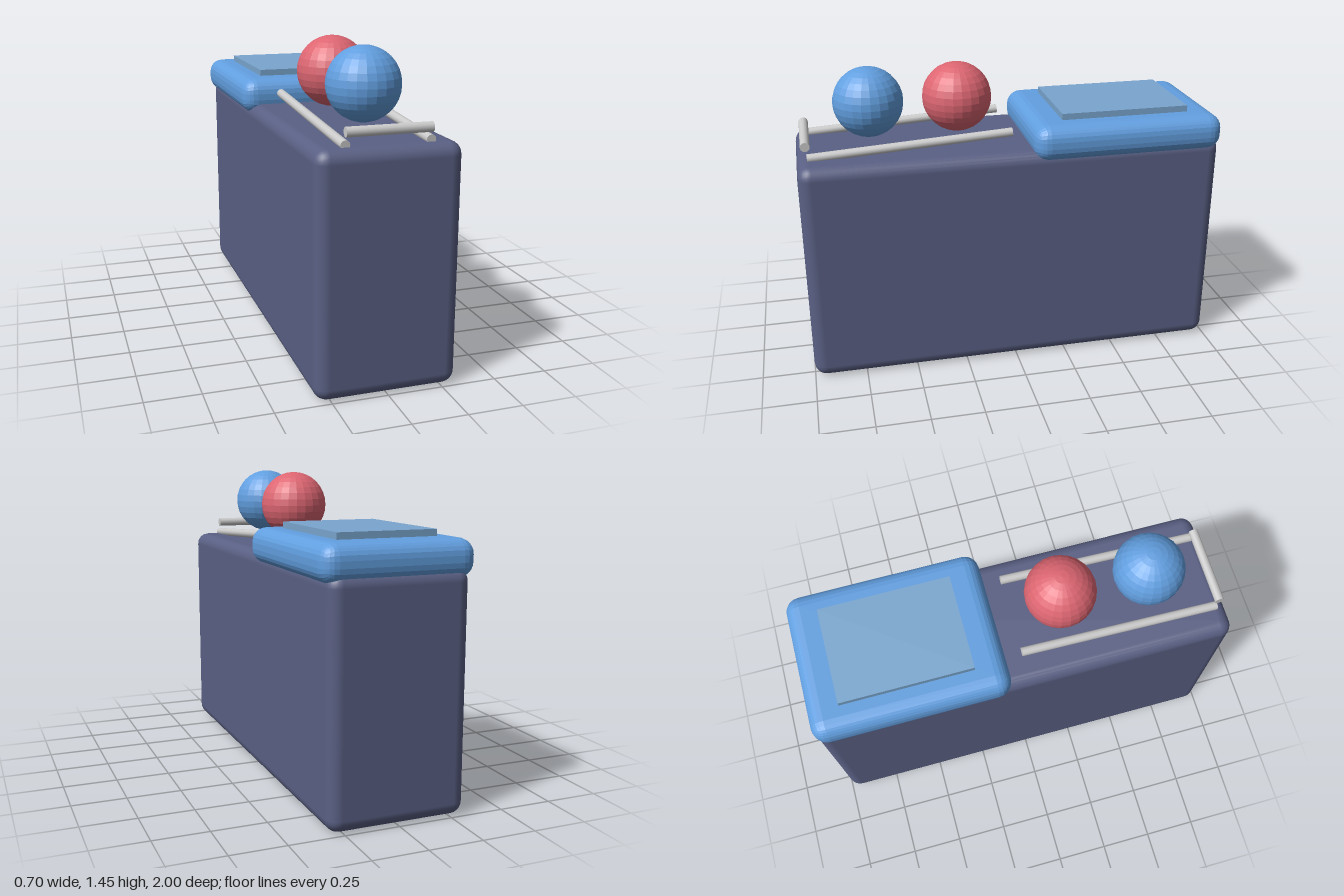
import * as THREE from 'three';
import { RoundedBoxGeometry } from 'three/addons/geometries/RoundedBoxGeometry.js';

function material(name, color, flatShading = false) {
  const m = new THREE.MeshStandardMaterial({ color, flatShading });
  m.name = name;
  return m;
}

export function createModel() {
  const group = new THREE.Group();
  const slate = material('slate', 0x5a6084);
  const blue = material('blue', 0x629fe0, true);
  const red = material('red', 0xdd6672, true);
  const glass = material('paleBlue', 0x7aa6cf);
  const metal = material('metal', 0xcccccc);

  const add = (name, geometry, mat, x, y, z) => {
    const mesh = new THREE.Mesh(geometry, mat);
    mesh.name = name;
    mesh.position.set(x, y, z);
    group.add(mesh);
    return mesh;
  };

  // Straight round bar between two points
  const bar = (name, a, b, radius) => {
    const dir = b.clone().sub(a);
    const mid = a.clone().add(b).multiplyScalar(0.5);
    const mesh = add(name, new THREE.CylinderGeometry(radius, radius, dir.length(), 12), metal, mid.x, mid.y, mid.z);
    mesh.quaternion.setFromUnitVectors(new THREE.Vector3(0, 1, 0), dir.normalize());
  };

  // Cabinet and the rounded console on its rear half
  add('cabinet', new RoundedBoxGeometry(0.64, 1.08, 2, 3, 0.06), slate, 0, 0.54, 0);
  add('console', new RoundedBoxGeometry(0.7, 0.17, 0.92, 3, 0.07), blue, 0, 1.115, -0.54);
  add('topPanel', new THREE.BoxGeometry(0.46, 0.04, 0.62), glass, 0, 1.21, -0.54);

  // Sloping rails and the front crossbar
  for (const side of [-1, 1]) {
    const x = side * 0.185;
    bar(side > 0 ? 'leftRail' : 'rightRail',
      new THREE.Vector3(x, 1.145, 0), new THREE.Vector3(x, 1.087, 0.95), 0.021);
  }
  bar('crossbar', new THREE.Vector3(-0.187, 1.142, 0.955), new THREE.Vector3(0.187, 1.142, 0.955), 0.022);

  // Balls resting between the rails
  const ball = new THREE.SphereGeometry(0.165, 24, 16);
  add('rearBall', ball, red, 0, 1.28, 0.23);
  add('frontBall', ball, blue, 0, 1.28, 0.65);

  return group;
}
